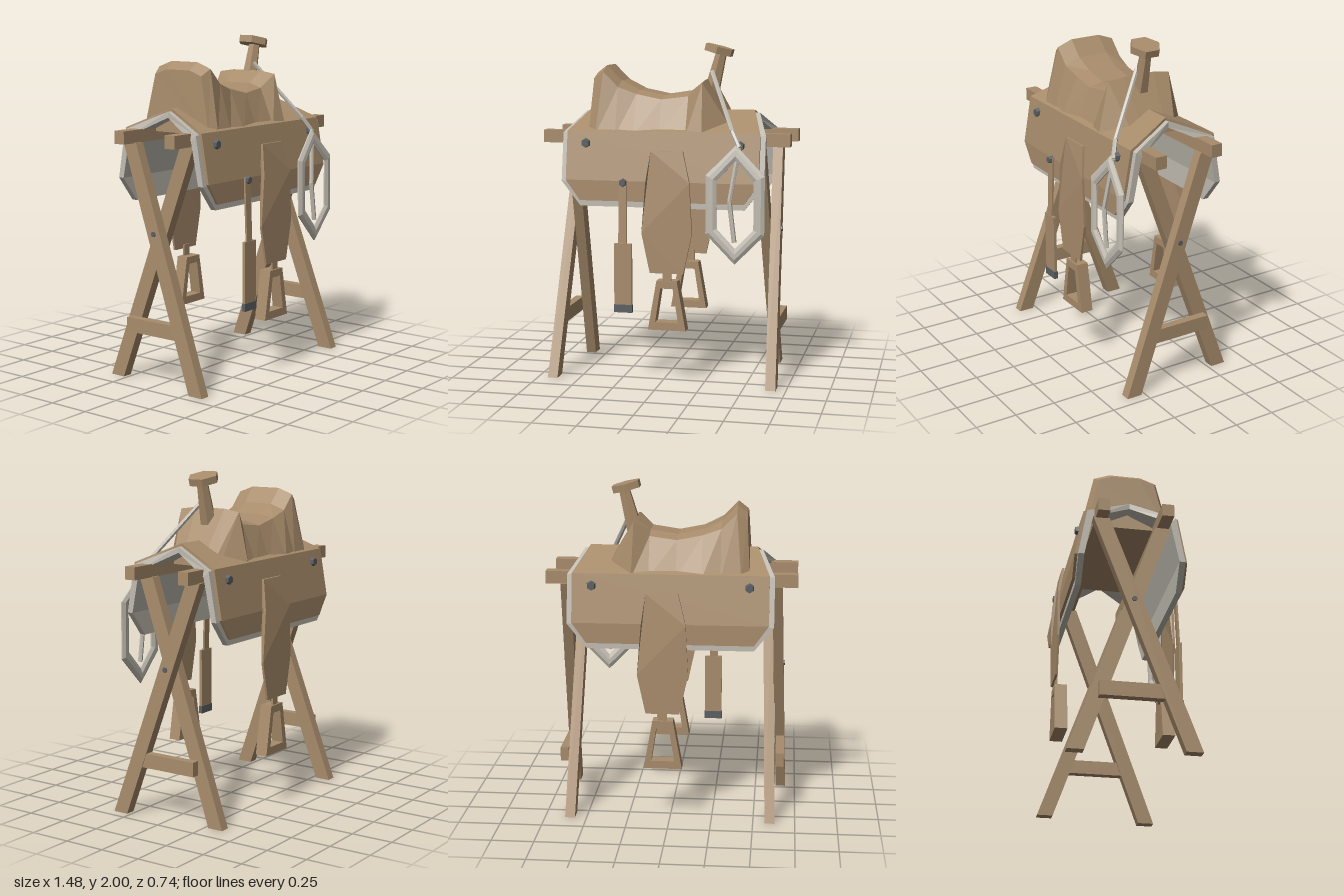
import * as THREE from 'three';

const mat = (name, color) => Object.assign(new THREE.MeshStandardMaterial({ color }), { name });

export function createModel() {
  const model = new THREE.Group();
  const brown = mat('brown leather and wood', 0xa88c6b);
  const felt = mat('pale felt and rope', 0xc2bdb2);
  const metal = mat('dark metal', 0x5c6064);

  // faceted mesh
  function add(name, geo, material, x = 0, y = 0, z = 0) {
    const g = geo.index ? geo.toNonIndexed() : geo;
    g.computeVertexNormals();
    const m = new THREE.Mesh(g, material);
    m.name = name;
    m.position.set(x, y, z);
    model.add(m);
    return m;
  }
  const box = (name, w, h, d, x, y, z, m = brown) => add(name, new THREE.BoxGeometry(w, h, d), m, x, y, z);

  // move every vertex by a rule
  function warp(geo, rule) {
    const p = geo.attributes.position, v = new THREE.Vector3();
    for (let i = 0; i < p.count; i++) {
      rule(v.fromBufferAttribute(p, i));
      p.setXYZ(i, v.x, v.y, v.z);
    }
    return geo;
  }

  // closed rings joined into a capped solid
  function loft(rings) {
    const n = rings[0].length, pos = [];
    const tri = (a, b, c) => pos.push(...a, ...b, ...c);
    for (let i = 0; i < rings.length - 1; i++) {
      for (let j = 0; j < n; j++) {
        const k = (j + 1) % n, [r, s] = [rings[i], rings[i + 1]];
        tri(r[j], s[j], s[k]);
        tri(r[j], s[k], r[k]);
      }
    }
    const a = rings[0], b = rings[rings.length - 1];
    for (let j = 1; j < n - 1; j++) {
      tri(a[0], a[j], a[j + 1]);
      tri(b[0], b[j + 1], b[j]);
    }
    return new THREE.BufferGeometry().setAttribute('position', new THREE.Float32BufferAttribute(pos, 3));
  }

  // round bar between two points
  function bar(name, a, b, r0, r1, sides, m) {
    const A = new THREE.Vector3(...a), B = new THREE.Vector3(...b);
    const dir = B.clone().sub(A);
    const mesh = add(name, new THREE.CylinderGeometry(r1, r0, dir.length(), sides), m);
    mesh.position.copy(A).add(B).multiplyScalar(0.5);
    mesh.quaternion.setFromUnitVectors(new THREE.Vector3(0, 1, 0), dir.normalize());
    return mesh;
  }

  const path = pts => pts.map(p => new THREE.Vector2(...p));
  const plate = (outer, depth, hole, extra = {}) => {
    const s = new THREE.Shape(path(outer));
    if (hole) s.holes.push(new THREE.Path(path(hole)));
    return new THREE.ExtrudeGeometry(s, { depth, bevelEnabled: false, ...extra });
  };

  // folded blankets: rows of [y, z, half length] from lower edge to ridge
  function blanket(name, half, t, m) {
    const rows = [...half.map(([y, z, h]) => [y, -z, h]), ...half.slice(0, -1).reverse()];
    add(name, loft(rows.map(([y, z, h]) => {
      const steep = Math.abs(z) > 0.29;
      const iy = steep ? y : y - t, iz = z - Math.sign(z) * t;
      return [[-h, y, z], [h, y, z], [h, iy, iz], [-h, iy, iz]];
    })), m);
  }
  blanket('leatherSkirt', [[1.08, 0.33, 0.49], [1.2, 0.33, 0.575], [1.485, 0.28, 0.575], [1.605, 0, 0.5]], 0.018, brown);
  blanket('feltPad', [[1.045, 0.313, 0.49], [1.19, 0.313, 0.605], [1.475, 0.263, 0.605], [1.588, 0, 0.53]], 0.035, felt);

  // seat stations: [x top, x base, y middle, y edge, z top, z base]
  const seat = [
    [-0.44, -0.46, 1.82, 1.79, 0.17, 0.24],
    [-0.38, -0.41, 1.865, 1.83, 0.19, 0.27],
    [-0.29, -0.29, 1.775, 1.74, 0.19, 0.27],
    [-0.18, -0.18, 1.72, 1.7, 0.18, 0.28],
    [-0.03, -0.03, 1.69, 1.67, 0.18, 0.26],
    [0.13, 0.13, 1.715, 1.69, 0.17, 0.265],
    [0.22, 0.23, 1.785, 1.77, 0.205, 0.28],
    [0.365, 0.37, 1.54, 1.53, 0.15, 0.17],
  ];
  add('seat', loft(seat.map(([x, xb, ym, ye, zt, zb]) => [
    [xb, 1.46, zb], [x, ye, zt], [x, ym, zt * 0.5],
    [x, ym, -zt * 0.5], [x, ye, -zt], [xb, 1.46, -zb],
  ])), brown);

  // horn
  bar('hornNeck', [0.235, 1.7, 0], [0.298, 1.95, 0], 0.05, 0.034, 6, brown);
  add('hornCap', new THREE.CylinderGeometry(0.092, 0.092, 0.042, 6), brown, 0.283, 1.957, 0).rotation.z = -0.25;

  for (const s of [1, -1]) {
    // fender, strap and stirrup
    const fender = warp(plate([[-0.06, 1.38], [-0.085, 1.2], [-0.11, 0.9], [-0.06, 0.665],
      [0.14, 0.665], [0.19, 0.9], [0.175, 1.2], [0.13, 1.38]], 0.014),
      v => { if (v.y > 1.2) v.z -= (v.y - 1.2) * 0.17; });
    const f = add('fender', fender, brown, 0, 0, 0.343);
    const st = add('stirrup', plate([[-0.02, 0.62], [-0.072, 0.325], [0.155, 0.325], [0.102, 0.62]], 0.075,
      [[0.003, 0.575], [0.077, 0.575], [0.11, 0.372], [-0.028, 0.372]]), brown, 0, 0, 0.282);
    if (s < 0) for (const m of [f, st]) {
      m.rotation.y = Math.PI;
      m.position.set(0.08, 0, -m.position.z);
    }
    box('stirrupStrap', 0.052, 0.09, 0.012, 0.041, 0.645, s * 0.34);

    // skirt bolts
    for (const x of [-0.46, 0.46]) bar('skirtBolt', [x, 1.415, s * 0.28], [x, 1.415, s * 0.312], 0.032, 0.024, 6, metal);

    // trestle rails
    box('rail', 1.48, 0.075, 0.07, 0, 1.445, s * 0.186);

    // crossed legs at each end, side by side
    for (const e of [1, -1]) {
      const foot = e * (s > 0 ? 0.66 : 0.6);
      add('leg', warp(new THREE.BoxGeometry(0.06, 1.41, 0.095), v => {
        const k = v.y / 1.41 + 0.5;
        v.x += foot - e * 0.04 * k;
        v.y += 0.705;
        v.z += s * (0.32 - 0.507 * k);
      }), brown);
    }
  }
  for (const e of [1, -1]) {
    box('legBrace', 0.05, 0.085, 0.4, e * 0.652, 0.343, 0);
    bar('legBolt', [e * 0.6, 0.897, 0], [e * 0.672, 0.897, 0], 0.016, 0.016, 6, metal);
  }

  // hanging side strap
  const strap = warp(new THREE.BoxGeometry(0.05, 0.39, 0.012), v => { if (v.y > 0) v.z -= 0.015; });
  add('sideStrap', strap, brown, -0.225, 1.01, 0.35);
  box('sideStrapPad', 0.106, 0.365, 0.018, -0.222, 0.65, 0.35);
  box('sideStrapTip', 0.11, 0.047, 0.024, -0.222, 0.445, 0.35, metal);
  bar('sideStrapBolt', [-0.225, 1.19, 0.32], [-0.225, 1.19, 0.358], 0.028, 0.02, 6, metal);

  // coiled rope, leaning in at the top
  const hex = (w, shoulder, tip) => [[0, tip], [-w, shoulder], [-w, -shoulder], [0, -tip], [w, -shoulder], [w, shoulder]];
  const coil = plate(hex(0.172, 0.17, 0.345), 0.008, hex(0.108, 0.14, 0.255),
    { bevelEnabled: true, bevelSize: 0.02, bevelThickness: 0.012, bevelOffset: -0.02, bevelSegments: 1 });
  add('ropeCoil', warp(coil, v => { if (v.y > 0.14) v.z -= (v.y - 0.14) * 0.14; }), felt, 0.443, 1.08, 0.35);

  // rope run from horn to coil and its loose tail
  const run = [[0.245, 1.83, 0.03], [0.41, 1.5, 0.275], [0.46, 1.41, 0.32], [0.41, 1.1, 0.352], [0.44, 0.865, 0.356]];
  for (let i = 0; i < run.length - 1; i++) bar('rope', run[i], run[i + 1], 0.014, 0.014, 6, felt);

  return model;
}
